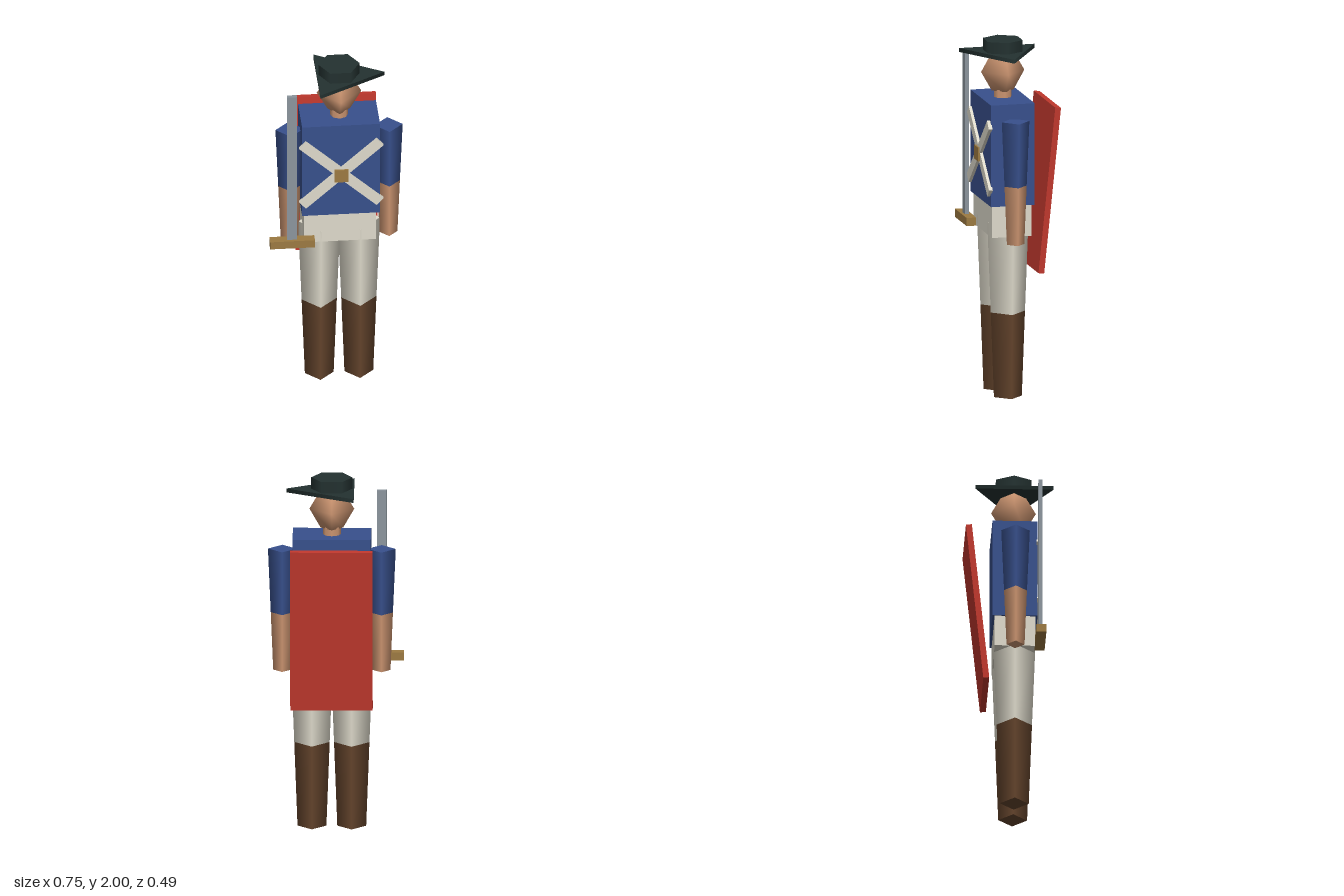
import * as THREE from 'three';

const mat = (name, color) => {
  const m = new THREE.MeshStandardMaterial({ color });
  m.name = name;
  return m;
};

export function createModel() {
  const blue = mat('coat blue', 0x38508c);
  const cloth = mat('cream cloth', 0xdedacb);
  const skin = mat('skin', 0xcb9470);
  const leather = mat('boot brown', 0x64442c);
  const felt = mat('hat black', 0x243231);
  const steel = mat('blade steel', 0x8b959d);
  const brass = mat('brass', 0x9c7a42);
  const red = mat('shield red', 0xc0382d);

  const model = new THREE.Group();
  model.name = 'soldier';
  const CX = 0.022, CZ = 0.027; // body axis

  const add = (name, geometry, material, x, y, z) => {
    const mesh = new THREE.Mesh(geometry, material);
    mesh.name = name;
    mesh.position.set(x, y, z);
    model.add(mesh);
    return mesh;
  };
  const box = (name, material, w, h, d, x, y, z) =>
    add(name, new THREE.BoxGeometry(w, h, d), material, x, y, z);
  // Upright prism or taper from y0 to y1
  const prism = (name, material, r0, r1, y0, y1, sides, x, z = CZ) =>
    add(name, new THREE.CylinderGeometry(r1, r0, y1 - y0, sides), material, x, (y0 + y1) / 2, z);

  // Torso and hips
  box('torso', blue, 0.433, 0.575, 0.25, CX, 1.3875, CZ);
  box('hips', cloth, 0.4, 0.18, 0.225, 0.016, 1.01, CZ);

  // Four-sided tapering limbs
  for (const side of [-1, 1]) {
    const s = side > 0 ? 'left' : 'right';
    const legX = CX + side * 0.11, armX = CX + side * 0.2745;
    prism(s + 'Boot', leather, 0.08, 0.098, 0, 0.48, 4, legX);
    prism(s + 'Trouser', cloth, 0.098, 0.118, 0.48, 0.99, 4, legX);
    prism(s + 'Forearm', skin, 0.05, 0.0635, 0.895, 1.225, 4, armX);
    prism(s + 'Sleeve', blue, 0.0635, 0.079, 1.225, 1.59, 4, armX);
  }

  // Neck and faceted head
  prism('neck', skin, 0.05, 0.05, 1.66, 1.72, 8, CX);
  const headProfile = [[0, -0.108], [0.0625, -0.108], [0.124, 0], [0.0625, 0.108], [0, 0.108]]
    .map(([r, y]) => new THREE.Vector2(r, y));
  add('head', new THREE.LatheGeometry(headProfile, 4), skin, CX, 1.82, CZ);

  // Three-cornered brim and six-sided crown, one corner towards +x
  prism('hatBrim', felt, 0.25, 0.25, 1.913, 1.935, 3, 0.024).rotation.y = Math.PI / 2;
  prism('hatCrown', felt, 0.114, 0.114, 1.93, 2.0, 6, CX).rotation.y = Math.PI / 2;

  // Crossed chest straps and buckle
  for (const side of [-1, 1]) {
    const strap = box('chestStrap', cloth, 0.58, 0.056, 0.022, CX, 1.372, 0.158 + side * 0.0008);
    strap.rotation.z = side * 0.733;
  }
  box('buckle', brass, 0.078, 0.078, 0.04, CX, 1.363, 0.16);

  // Sword held upright in the right hand
  box('swordBlade', steel, 0.055, 0.93, 0.023, -0.2525, 1.425, 0.165);
  box('swordGuard', brass, 0.249, 0.046, 0.056, -0.251, 0.941, 0.165);

  // Shield slung on the back, leaning away at the top
  box('shield', red, 0.456, 0.937, 0.033, CX, 1.178, -0.181).rotation.x = -0.103;

  return model;
}
